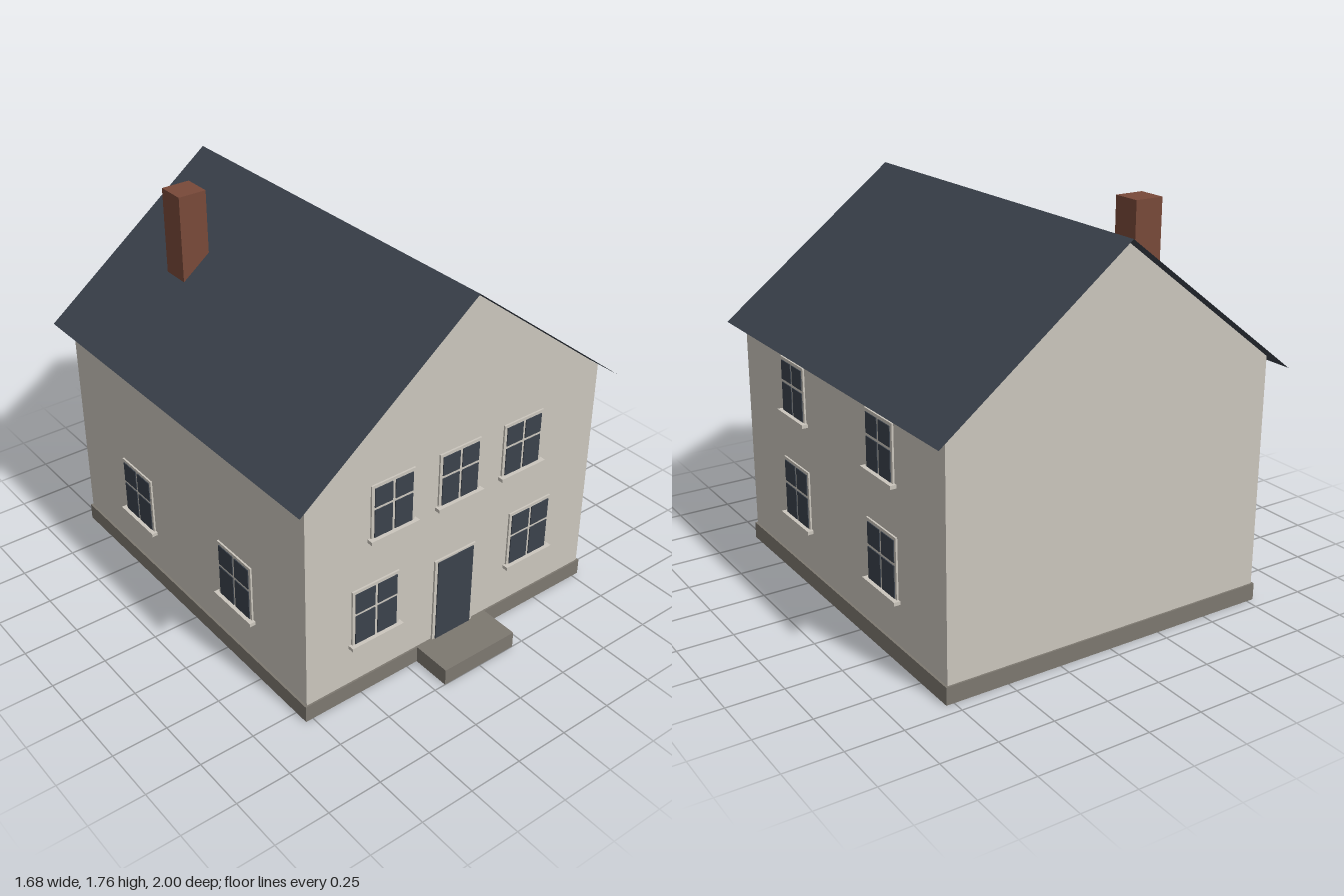
import * as THREE from 'three';

const mat = (name, color, side = THREE.FrontSide) => {
  const m = new THREE.MeshStandardMaterial({ color, side });
  m.name = name;
  return m;
};

export function createModel() {
  const render = mat('wall render', 0xcbc6bd);
  const stone = mat('plinth stone', 0x7d7870);
  const slate = mat('roof slate', 0x3c434d, THREE.DoubleSide);
  const brick = mat('chimney brick', 0x784939);
  const glass = mat('dark glass', 0x3b424c);

  const house = new THREE.Group();
  house.name = 'house';

  // Box given by its minimum and maximum corners
  const box = (parent, name, material, [x0, y0, z0], [x1, y1, z1]) => {
    const mesh = new THREE.Mesh(new THREE.BoxGeometry(x1 - x0, y1 - y0, z1 - z0), material);
    mesh.position.set((x0 + x1) / 2, (y0 + y1) / 2, (z0 + z1) / 2);
    mesh.name = name;
    parent.add(mesh);
    return mesh;
  };

  const W = 0.775, FRONT = 0.81, BACK = -0.935;

  // Gabled walls, kept just below the roof sheets
  const gable = new THREE.Shape([
    [-W, 0.02], [W, 0.02], [W, 1.121], [0, 1.721], [-W, 1.121],
  ].map(([x, y]) => new THREE.Vector2(x, y)));
  const walls = new THREE.Mesh(
    new THREE.ExtrudeGeometry(gable, { depth: FRONT - BACK, bevelEnabled: false }), render);
  walls.position.z = BACK;
  walls.name = 'walls';
  house.add(walls);

  // Plinth and door step
  box(house, 'plinth', stone, [-0.785, 0, -0.943], [0.785, 0.078, 0.818]);
  box(house, 'doorStep', stone, [-0.195, 0, 0.818], [0.193, 0.078, 1]);

  // Thin roof slopes meeting at the ridge
  const ridgeY = 1.725, eaveX = 0.84, eaveY = 1.075, roofFront = 0.872, roofBack = -1;
  const slope = Math.atan2(ridgeY - eaveY, eaveX);
  for (const side of [-1, 1]) {
    const sheet = new THREE.PlaneGeometry(Math.hypot(eaveX, ridgeY - eaveY), roofFront - roofBack);
    sheet.rotateX(-Math.PI / 2).rotateZ(-side * slope);
    const roof = new THREE.Mesh(sheet, slate);
    roof.position.set(side * eaveX / 2, (ridgeY + eaveY) / 2, (roofFront + roofBack) / 2);
    roof.name = side > 0 ? 'roofLeft' : 'roofRight';
    house.add(roof);
  }

  // Chimney rising through the slope
  box(house, 'chimney', brick, [-0.455, 1.25, -0.612], [-0.322, 1.765, -0.48]);

  // Window in its own frame: origin at the sill centre on the wall, facing +z
  const makeWindow = (w, h) => {
    const g = new THREE.Group();
    g.name = 'window';
    box(g, 'windowFrame', render, [-w / 2, 0, -0.005], [w / 2, h, 0.008]);
    box(g, 'windowSill', render, [-w / 2 - 0.013, -0.014, -0.005], [w / 2 + 0.013, 0.002, 0.028]);
    const edge = w / 2 - 0.014, bar = 0.007, mid = h * 0.565;
    for (const [x0, x1] of [[-edge, -bar], [bar, edge]]) {
      for (const [y0, y1] of [[0.004, mid - bar], [mid + bar, h - 0.014]]) {
        box(g, 'pane', glass, [x0, y0, 0.006], [x1, y1, 0.012]);
      }
    }
    return g;
  };
  const place = (w, h, x, y, z, turn) => {
    const g = makeWindow(w, h);
    g.position.set(x, y, z);
    g.rotation.y = turn;
    house.add(g);
  };
  const UP = { w: 0.22, h: 0.25, y: 0.774 }, LOW = { w: 0.242, h: 0.272, y: 0.278 };

  // Front windows
  for (const x of [-0.348, 0, 0.348]) place(UP.w, UP.h, x, UP.y, FRONT, 0);
  for (const x of [-0.427, 0.427]) place(LOW.w, LOW.h, x, LOW.y, FRONT, 0);

  // Side windows: two storeys on one side, ground floor only on the other
  for (const z of [0.324, -0.447]) {
    place(UP.w, UP.h, W, UP.y, z, Math.PI / 2);
    place(LOW.w, LOW.h, W, LOW.y, z, Math.PI / 2);
    place(LOW.w, LOW.h, -W, LOW.y, z, -Math.PI / 2);
  }

  // Front door
  box(house, 'doorFrame', render, [-0.113, 0.078, FRONT - 0.005], [0.113, 0.495, FRONT + 0.009]);
  box(house, 'door', glass, [-0.098, 0.078, FRONT + 0.006], [0.098, 0.486, FRONT + 0.013]);

  return house;
}
